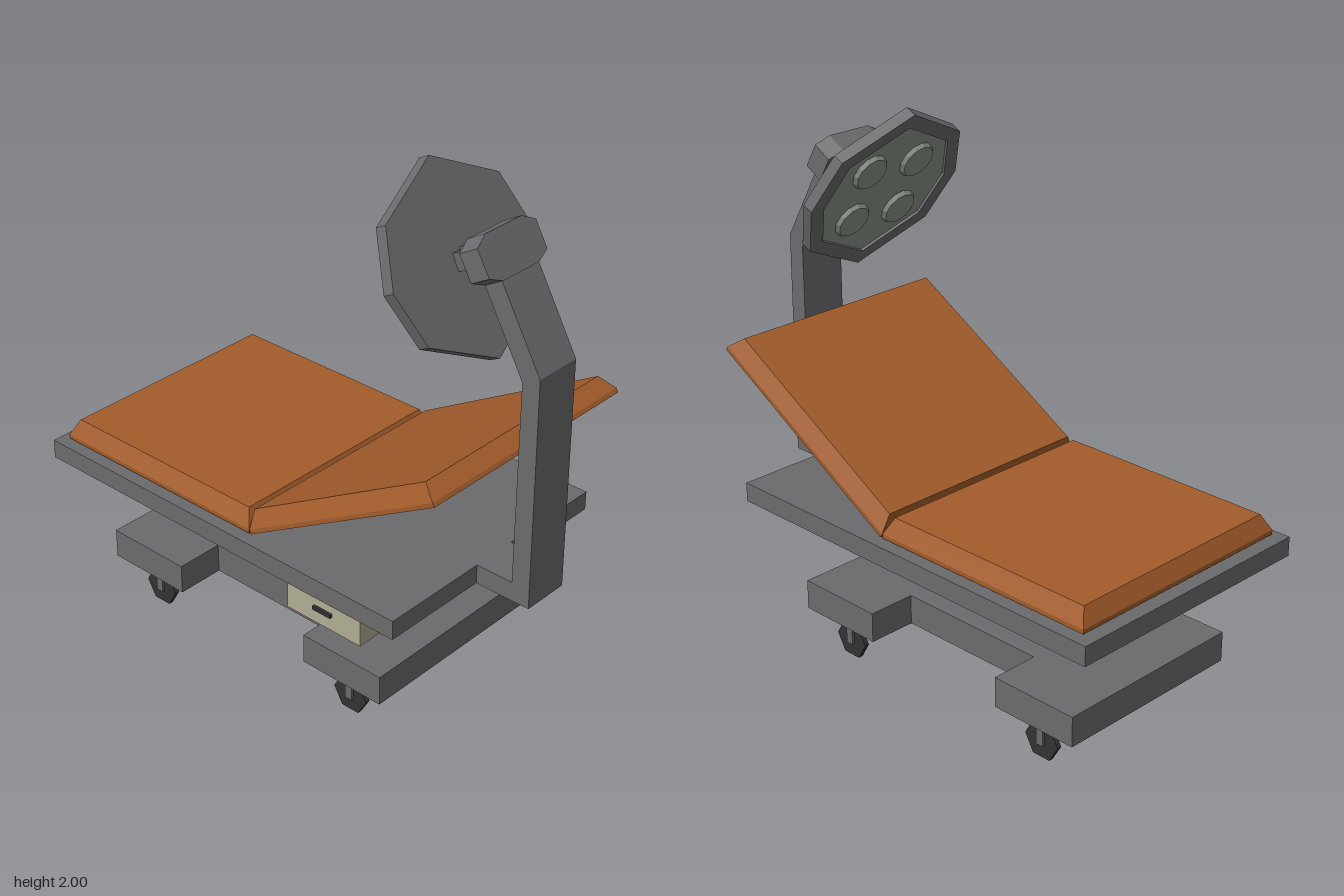
import * as THREE from 'three';

const mat = (color) => new THREE.MeshStandardMaterial({ color, flatShading: true });

// Solid through rectangular sections [y, xMin, xMax, halfDepth], bottom to top
function loft(sections) {
  const pos = [], index = [];
  for (const [y, x0, x1, h] of sections) pos.push(x0, y, -h, x0, y, h, x1, y, h, x1, y, -h);
  for (let s = 0; s < sections.length - 1; s++) {
    for (let i = 0; i < 4; i++) {
      const a = s * 4 + i, b = s * 4 + (i + 1) % 4;
      index.push(a, b, b + 4, a, b + 4, a + 4);
    }
  }
  const t = (sections.length - 1) * 4;
  index.push(0, 2, 1, 0, 3, 2, t, t + 1, t + 2, t, t + 2, t + 3);
  const g = new THREE.BufferGeometry();
  g.setAttribute('position', new THREE.Float32BufferAttribute(pos, 3));
  g.setIndex(index);
  const flat = g.toNonIndexed();
  flat.computeVertexNormals();
  return flat;
}

const outline = (pts) => new THREE.Shape(pts.map(([x, y]) => new THREE.Vector2(x, y)));
const extrude = (shape, depth) => new THREE.ExtrudeGeometry(shape, { depth, bevelEnabled: false });

export function createModel() {
  const model = new THREE.Group();
  const metal = mat(0x6b6b6d), dark = mat(0x333334), leather = mat(0xa35c2b);
  const cream = mat(0xb0ad92), glass = mat(0x8b9389);

  const add = (name, geometry, material, parent = model) => {
    const mesh = new THREE.Mesh(geometry, material);
    mesh.name = name;
    parent.add(mesh);
    return mesh;
  };
  const box = (name, x0, x1, y0, y1, z0, z1, material, parent) => {
    const m = add(name, new THREE.BoxGeometry(x1 - x0, y1 - y0, z1 - z0), material, parent);
    m.position.set((x0 + x1) / 2, (y0 + y1) / 2, (z0 + z1) / 2);
    return m;
  };

  // H-shaped base plate
  const base = add('base', extrude(outline([
    [-0.775, -0.39], [-0.42, -0.39], [-0.42, -0.2], [0.195, -0.2], [0.195, -0.39], [0.55, -0.39],
    [0.55, 0.39], [0.195, 0.39], [0.195, 0.2], [-0.42, 0.2], [-0.42, 0.39], [-0.775, 0.39],
  ]), 0.115), metal);
  base.rotation.x = -Math.PI / 2;
  base.position.y = 0.145;

  // Casters: thin hexagonal wheels with side brackets
  for (const x of [-0.59, 0.37]) {
    for (const s of [-1, 1]) {
      const caster = new THREE.Group();
      caster.name = 'caster';
      const wheel = add('wheel', new THREE.CylinderGeometry(0.075, 0.075, 0.018, 6), dark, caster);
      wheel.rotation.set(Math.PI / 2, Math.PI / 2, 0, 'XYZ');
      wheel.position.y = 0.065;
      box('wheelBracket', -0.015, 0.015, 0.05, 0.146, s * 0.014 - 0.005, s * 0.014 + 0.005, metal, caster);
      caster.position.set(x, 0, s * 0.33);
      model.add(caster);
    }
  }

  // Pedestal column with flared ends
  add('pedestal', loft([
    [0.255, -0.286, 0.06, 0.09], [0.29, -0.286, 0.06, 0.09], [0.335, -0.257, 0.03, 0.07],
    [0.485, -0.257, 0.03, 0.07], [0.54, -0.295, 0.067, 0.09], [0.58, -0.295, 0.067, 0.09],
  ]), metal);

  // Table top
  box('tableTop', -0.94, 0.715, 0.575, 0.648, -0.52, 0.52, metal);

  // Drawer and its handle
  box('drawer', 0.225, 0.555, 0.455, 0.577, 0.19, 0.497, cream);
  box('drawerHandle', 0.35, 0.43, 0.51, 0.524, 0.497, 0.508, dark);

  // Two matching chamfered pads, one raised by 30 degrees
  const pad = loft([[0, 0, 0.925, 0.48], [0.016, 0, 0.925, 0.48], [0.077, 0.03, 0.895, 0.447]]);
  add('seatPad', pad, leather).position.set(-0.895, 0.657, 0);
  const backPad = add('backPad', pad, leather);
  backPad.position.set(0.04, 0.657, 0);
  backPad.rotation.z = Math.PI / 6;

  // Lamp arm, with the tongue that joins it to the table
  add('lampArm', extrude(outline([
    [0.715, 0.575], [0.935, 0.575], [0.93, 1.44], [0.69, 1.858], [0.625, 1.82],
    [0.862, 1.405], [0.862, 0.648], [0.715, 0.648],
  ]), 0.184).translate(0, 0, -0.092), metal);

  // Wide plate at the end of the arm
  const armHead = add('armHead', extrude(outline([
    [-0.09, -0.155], [0.09, -0.155], [0.145, -0.13], [0.145, -0.03],
    [0.09, 0], [-0.09, 0], [-0.145, -0.03], [-0.145, -0.13],
  ]), 0.08), metal);
  armHead.rotation.set(0, -Math.PI / 2, Math.PI / 6, 'ZYX');
  armHead.position.set(0.692, 1.861, 0);

  // Lamp head: local +z is the direction of the light
  const lamp = new THREE.Group();
  lamp.name = 'lampHead';
  lamp.rotation.set(0, -Math.PI / 2, 0.476, 'ZYX');
  lamp.position.set(0.525, 1.688, 0);
  model.add(lamp);

  const ring = (r) => [0, 54, 90, 126, 180, 234, 270, 306].map((d) => {
    const a = THREE.MathUtils.degToRad(d);
    return [-Math.sin(a) * r, Math.cos(a) * r];
  });
  add('lampBack', extrude(outline(ring(0.343)), 0.03).translate(0, 0, -0.022), metal, lamp);
  const rim = outline(ring(0.343));
  rim.holes.push(new THREE.Path(ring(0.285).map(([x, y]) => new THREE.Vector2(x, y))));
  add('lampRim', extrude(rim, 0.014).translate(0, 0, 0.008), metal, lamp);
  add('lampPanel', extrude(outline(ring(0.286)), 0.004).translate(0, 0, 0.008), glass, lamp);

  // Four round bulbs
  for (let i = 0; i < 4; i++) {
    const a = Math.PI / 4 + i * Math.PI / 2;
    const bulb = add('bulb', new THREE.CylinderGeometry(0.065, 0.075, 0.018, 12), glass, lamp);
    bulb.rotation.x = Math.PI / 2;
    bulb.position.set(Math.cos(a) * 0.155, Math.sin(a) * 0.155, 0.018);
  }

  // Flared neck between lamp and arm
  const neck = add('lampNeck', loft([
    [0.015, -0.045, 0.045, 0.03], [0.055, -0.05, 0.05, 0.032],
    [0.105, -0.09, 0.09, 0.055], [0.16, -0.09, 0.09, 0.055],
  ]), metal, lamp);
  neck.rotation.x = -Math.PI / 2;

  return model;
}
